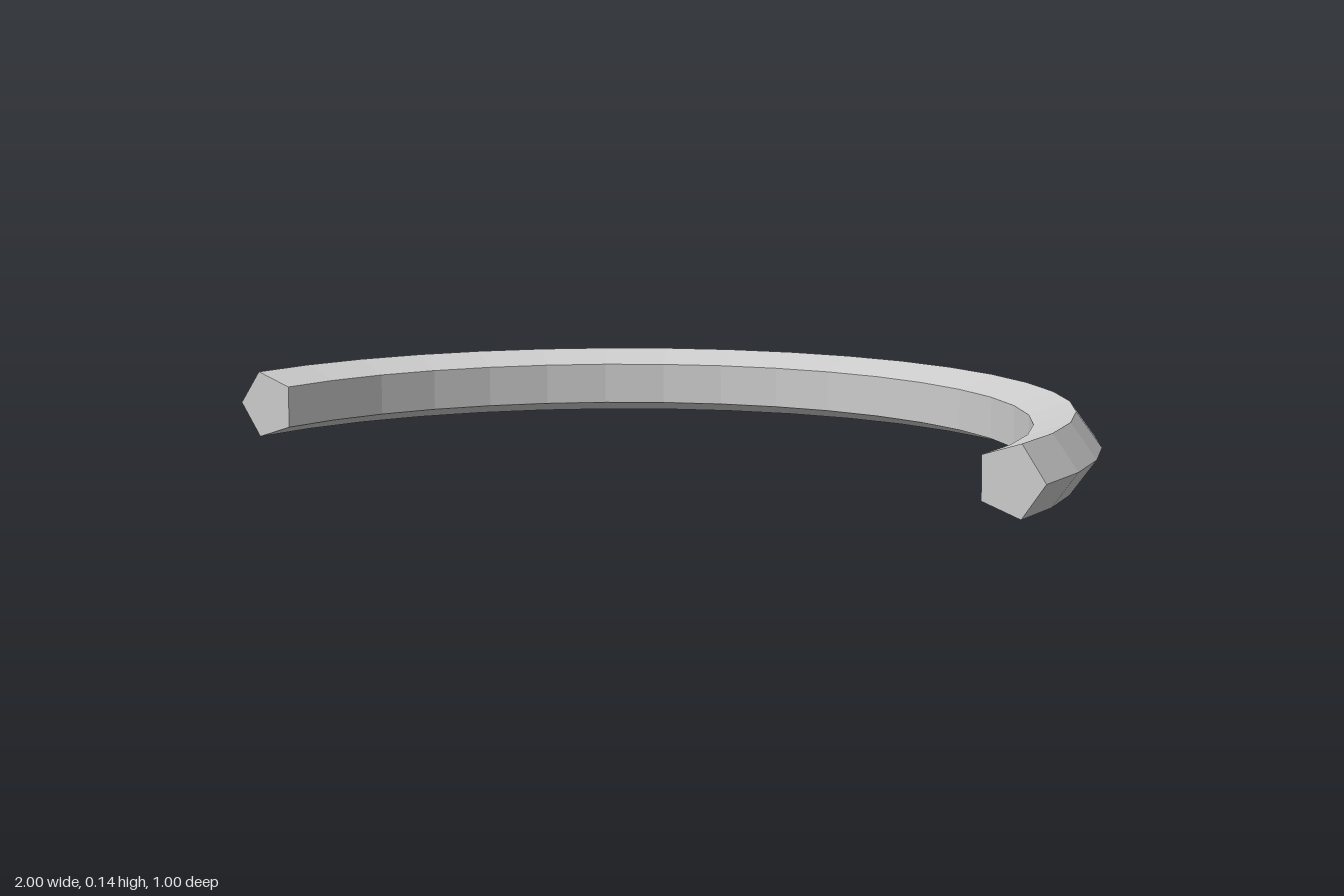
import * as THREE from 'three';

export function createModel() {
  const group = new THREE.Group();
  group.name = 'halfRing';
  const material = new THREE.MeshStandardMaterial({ color: 0xcccccc, flatShading: true });

  const r = 0.076;                          // pentagon section radius
  const R = 1 - r;                          // ring centre-line radius
  const midY = r * Math.sin(Math.PI * 0.4); // half the section height

  // Half ring with a five-sided section, point facing outward
  const band = new THREE.Mesh(
    new THREE.TorusGeometry(R, r, 5, 20, Math.PI).rotateX(-Math.PI / 2),
    material
  );
  band.name = 'band';
  band.position.set(0, midY, 0.5);
  group.add(band);

  // Flat pentagon caps closing both ends
  for (const [name, side, start] of [['leftEndCap', 1, 0], ['rightEndCap', -1, Math.PI]]) {
    const cap = new THREE.Mesh(new THREE.CircleGeometry(r, 5, start), material);
    cap.name = name;
    cap.position.set(side * R, midY, 0.5);
    group.add(cap);
  }
  return group;
}
